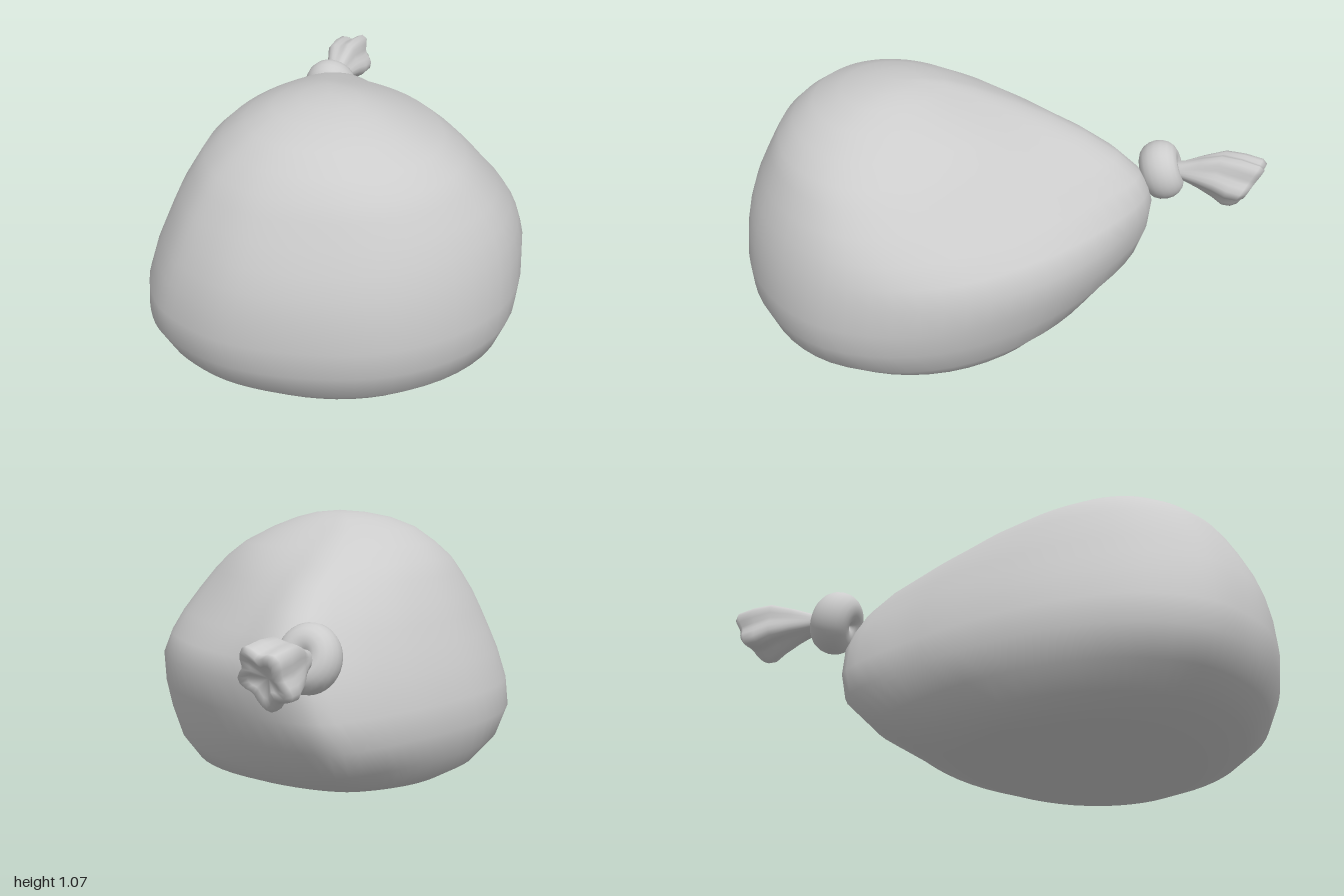
import * as THREE from 'three';

const SEG = 66;
const lerp = THREE.MathUtils.lerp;
const smooth = THREE.MathUtils.smoothstep;

// Closed outline resampled and normalised to -1..1 in both directions
function outline(points) {
  const curve = new THREE.CatmullRomCurve3(points.map(([x, z]) => new THREE.Vector3(x, 0, z)), true);
  const pts = curve.getPoints(SEG).slice(0, SEG);
  const box = new THREE.Box3().setFromPoints(pts);
  const c = box.getCenter(new THREE.Vector3());
  const s = box.getSize(new THREE.Vector3());
  return pts.map((p) => new THREE.Vector2((p.x - c.x) / s.x * 2, (p.z - c.z) / s.z * 2));
}

// Skin over rings of equal length, closed by a centre point at each end
function loft(rings, startPoint, endPoint) {
  const n = rings[0].length;
  const verts = [...rings.flat(), startPoint, endPoint];
  const first = rings.length * n;
  const top = (rings.length - 1) * n;
  const index = [];
  for (let i = 0; i < n; i++) {
    const k = (i + 1) % n;
    for (let j = 0; j < rings.length - 1; j++) {
      const a = j * n + i, b = j * n + k;
      index.push(a, b, a + n, b, b + n, a + n);
    }
    index.push(first, k, i, first + 1, top + i, top + k);
  }
  const g = new THREE.BufferGeometry().setFromPoints(verts);
  g.setIndex(index);
  g.computeVertexNormals();
  return g;
}

function bodyGeometry() {
  // Plan outlines, starting at the neck and running left, front, right, back
  const front = [
    [-0.70, 0.3], [-0.67, 0.52], [-0.61, 0.7], [-0.52, 0.83], [-0.42, 0.92], [-0.3, 0.97], [-0.14, 1.0],
    [0.02, 0.985], [0.2, 0.93], [0.38, 0.84], [0.53, 0.71], [0.65, 0.52], [0.70, 0.3],
  ];
  const full = outline([[-0.55, -0.56], [-0.62, -0.4], [-0.66, -0.2], [-0.69, 0], ...front,
    [0.65, 0.05], [0.51, -0.18], [0.32, -0.35], [0.12, -0.47], [-0.13, -0.56], [-0.4, -0.6]]);
  const pointed = outline([[-0.54, -0.57], [-0.61, -0.4], [-0.66, -0.2], [-0.69, 0], ...front,
    [0.65, 0.1], [0.5, -0.1], [0.28, -0.26], [0.03, -0.4], [-0.23, -0.52], [-0.43, -0.6]]);

  // Levels: y, left x, right x, back z, front z
  const levels = [
    [0, -0.2, 0.15, 0.1, 0.45], [0.008, -0.36, 0.3, -0.02, 0.56], [0.03, -0.52, 0.44, -0.2, 0.68],
    [0.08, -0.61, 0.555, -0.35, 0.84], [0.16, -0.67, 0.645, -0.46, 0.94], [0.27, -0.7, 0.69, -0.54, 0.992],
    [0.38, -0.688, 0.7, -0.575, 1.0], [0.5, -0.65, 0.69, -0.592, 0.985], [0.58, -0.615, 0.673, -0.58, 0.965],
    [0.66, -0.58, 0.648, -0.54, 0.935], [0.74, -0.54, 0.605, -0.45, 0.895], [0.82, -0.49, 0.55, -0.335, 0.85],
    [0.88, -0.45, 0.5, -0.22, 0.81], [0.94, -0.385, 0.42, -0.1, 0.75], [1.0, -0.295, 0.31, 0.06, 0.67],
    [1.04, -0.2, 0.2, 0.17, 0.56], [1.06, -0.11, 0.11, 0.25, 0.46],
  ];
  const rings = levels.map(([y, xl, xr, zb, zf]) => {
    const point = smooth(y, 0.48, 0.72);
    const round = Math.max(smooth(y, 0.75, 1.05), 1 - smooth(y, 0, 0.25)) * 0.7;
    return full.map((f, i) => {
      const p = f.clone().lerp(pointed[i], point);
      p.lerp(p.clone().normalize(), round);
      return new THREE.Vector3(lerp(xl, xr, (p.x + 1) / 2), y, lerp(zb, zf, (p.y + 1) / 2));
    });
  });
  return loft(rings, new THREE.Vector3(-0.02, 0, 0.28), new THREE.Vector3(0, 1.07, 0.35));
}

function tailGeometry() {
  // Stations: z, centre x, centre y, half width, half height, slant, fold depth
  const stations = [
    [-0.6, -0.54, 0.615, 0.035, 0.035, 0, 0], [-0.67, -0.553, 0.62, 0.04, 0.04, 0, 0.02],
    [-0.74, -0.57, 0.622, 0.062, 0.068, 0, 0.08], [-0.81, -0.588, 0.62, 0.084, 0.095, 0.1, 0.12],
    [-0.87, -0.597, 0.605, 0.092, 0.107, 0.25, 0.14], [-0.925, -0.602, 0.6, 0.092, 0.1, 0.45, 0.16],
    [-0.947, -0.602, 0.6, 0.078, 0.085, 0.5, 0.17], [-0.935, -0.602, 0.6, 0.05, 0.055, 0.5, 0.2],
  ];
  const n = 30;
  const rings = stations.map(([z, cx, cy, rx, ry, slant, fold]) =>
    Array.from({ length: n }, (_, i) => {
      const a = -i / n * Math.PI * 2;
      const r = 1 + fold * Math.cos(5 * a + 0.6);
      const dy = Math.sin(a) * ry * r;
      return new THREE.Vector3(cx + Math.cos(a) * rx * r, cy + dy, z - dy * slant);
    }));
  return loft(rings, new THREE.Vector3(-0.54, 0.615, -0.6), new THREE.Vector3(-0.6, 0.6, -0.9));
}

export function createModel() {
  const group = new THREE.Group();
  const grey = new THREE.MeshStandardMaterial({ color: 0xcccccc });
  grey.name = 'plain grey';

  const add = (name, geometry) => {
    const mesh = new THREE.Mesh(geometry, grey);
    mesh.name = name;
    group.add(mesh);
    return mesh;
  };

  // Sagging rounded sack
  add('body', bodyGeometry());

  // Rolled knot around the neck, leaning forward at the top
  const knot = add('knot', new THREE.TorusGeometry(0.055, 0.065, 18, 36));
  knot.position.set(-0.527, 0.615, -0.587);
  knot.rotation.set(0.35, 0.25, 0);
  knot.scale.set(0.95, 1.03, 1.2);

  // Folded loose end beyond the knot
  add('tail', tailGeometry());

  return group;
}
